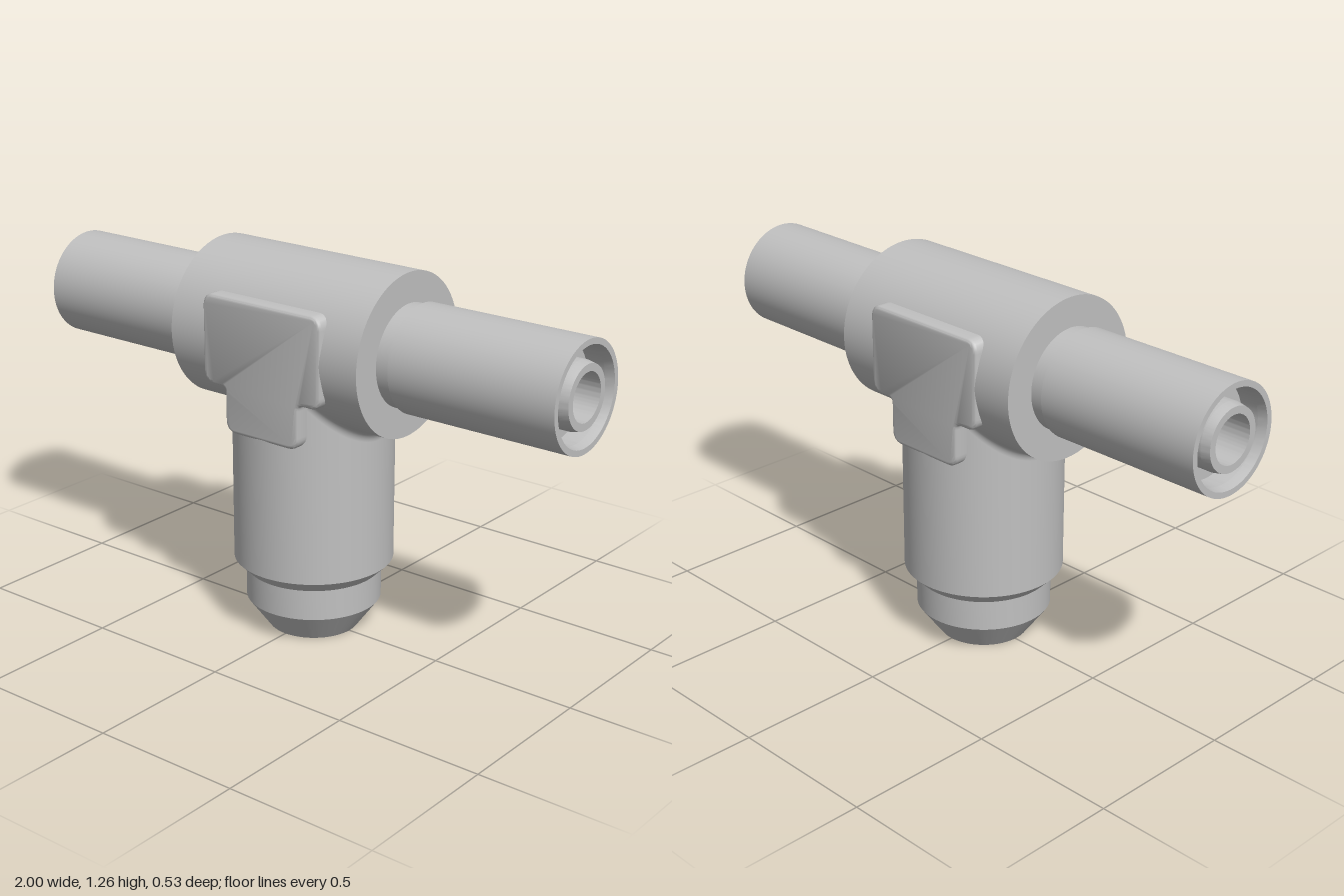
import * as THREE from 'three';
import { toCreasedNormals } from 'three/addons/utils/BufferGeometryUtils.js';
import { ParametricGeometry } from 'three/addons/geometries/ParametricGeometry.js';

const R = 0.263;      // radius of both the crossbar body and the stem
const AXIS = 1.0;     // height of the crossbar axis
const FILLET = 0.038; // blend radius where stem and body meet
const BORE = 0.077;

// Profile of [radius, height] pairs; the outside runs upward
function lathe(points) {
  return new THREE.LatheGeometry(points.map(([r, y]) => new THREE.Vector2(r, y)), 96);
}

// Same, turned so the axis lies along +x at crossbar height
function latheX(points) {
  return toCreasedNormals(lathe(points).rotateZ(-Math.PI / 2), 0.2);
}

// Stem whose top edge follows the saddle line between the two equal cylinders
function stemGeometry() {
  const g = lathe([
    [0.132, 0.6], [0.132, 0.03], [0.142, 0], [0.15, 0], [0.223, 0.1], [0.223, 0.203],
    [R, 0.243], [R, AXIS],
  ]);
  const p = g.attributes.position;
  for (let i = 0; i < p.count; i++) {
    if (p.getY(i) === AXIS) p.setY(i, AXIS - Math.abs(p.getX(i)));
  }
  return toCreasedNormals(g, 0.2);
}

// Rolling-ball blend on the +x side of the stem
function filletGeometry() {
  const a = R + FILLET;
  return new ParametricGeometry((u, v, target) => {
    const t = (0.5 - u) * (Math.PI - 0.04);
    const c = Math.cos(t), s = Math.sin(t);
    const toStem = new THREE.Vector3(-c, 0, -s);
    const toBody = new THREE.Vector3(0, c, -s);
    target.copy(toStem.lerp(toBody, v)).normalize().multiplyScalar(FILLET);
    target.add(new THREE.Vector3(a * c, AXIS - a * c, a * s));
  }, 48, 8);
}

// T-shaped pad with rounded corners and a soft front edge
function padGeometry() {
  const bevel = 0.012;
  const half = [[0.147, 0.708], [0.147, 0.857], [0.235, 0.857], [0.235, 1.152]];
  const inset = [[-1, 1], [-1, 1], [-1, 1], [-1, -1]];
  const right = half.map(([x, y], i) => [x + inset[i][0] * bevel, y + inset[i][1] * bevel]);
  const pts = [...right, ...right.slice().reverse().map(([x, y]) => [-x, y])]
    .map(([x, y]) => new THREE.Vector2(x, y));
  const shape = new THREE.Shape();
  pts.forEach((p, i) => {
    const prev = pts[(i + pts.length - 1) % pts.length];
    const next = pts[(i + 1) % pts.length];
    const a = p.clone().add(prev.clone().sub(p).setLength(0.03));
    const b = p.clone().add(next.clone().sub(p).setLength(0.03));
    if (i === 0) shape.moveTo(a.x, a.y);
    else shape.lineTo(a.x, a.y);
    shape.quadraticCurveTo(p.x, p.y, b.x, b.y);
  });
  shape.closePath();
  const g = new THREE.ExtrudeGeometry(shape, {
    depth: 0.125, bevelEnabled: true, bevelThickness: bevel, bevelSize: bevel,
    bevelSegments: 4, curveSegments: 6,
  });
  g.translate(0, 0, 0.265 - 0.125 - bevel);
  return toCreasedNormals(g, 0.6);
}

export function createModel() {
  const model = new THREE.Group();
  const metal = new THREE.MeshStandardMaterial({ color: 0xc0c0c0 });
  metal.name = 'grey metal';

  const add = (name, geometry, y = 0, turn = 0) => {
    const mesh = new THREE.Mesh(geometry, metal);
    mesh.name = name;
    mesh.position.y = y;
    mesh.rotation.y = turn;
    model.add(mesh);
  };

  // Crossbar body and the bore running through it
  add('body', latheX([[0.1, -0.37], [R, -0.37], [R, 0.37], [0.1, 0.37]]), AXIS);
  add('bore', latheX([[BORE, 1], [BORE, -1]]), AXIS);

  // Stem with stepped, tapered and hollow foot
  add('stem', stemGeometry());
  add('stemBoreEnd', new THREE.CircleGeometry(0.132, 48).rotateX(Math.PI / 2), 0.6);

  // Pipe: neck, outer wall, annular recess and inner sleeve
  const pipe = latheX([
    [0.165, 0.36], [0.165, 0.42], [0.175, 0.42], [0.175, 1], [0.156, 1], [0.15, 0.97],
    [0.15, 0.91], [0.107, 0.91], [0.107, 0.97], [0.101, 1], [BORE, 1],
  ]);
  const fillet = filletGeometry();
  const pad = padGeometry();

  // Mirrored pairs
  ['left', 'right'].forEach((side, i) => {
    add(side + 'Pipe', pipe, AXIS, i * Math.PI);
    add(side + 'Fillet', fillet, 0, i * Math.PI);
  });
  ['front', 'back'].forEach((side, i) => add(side + 'Pad', pad, 0, i * Math.PI));

  return model;
}
